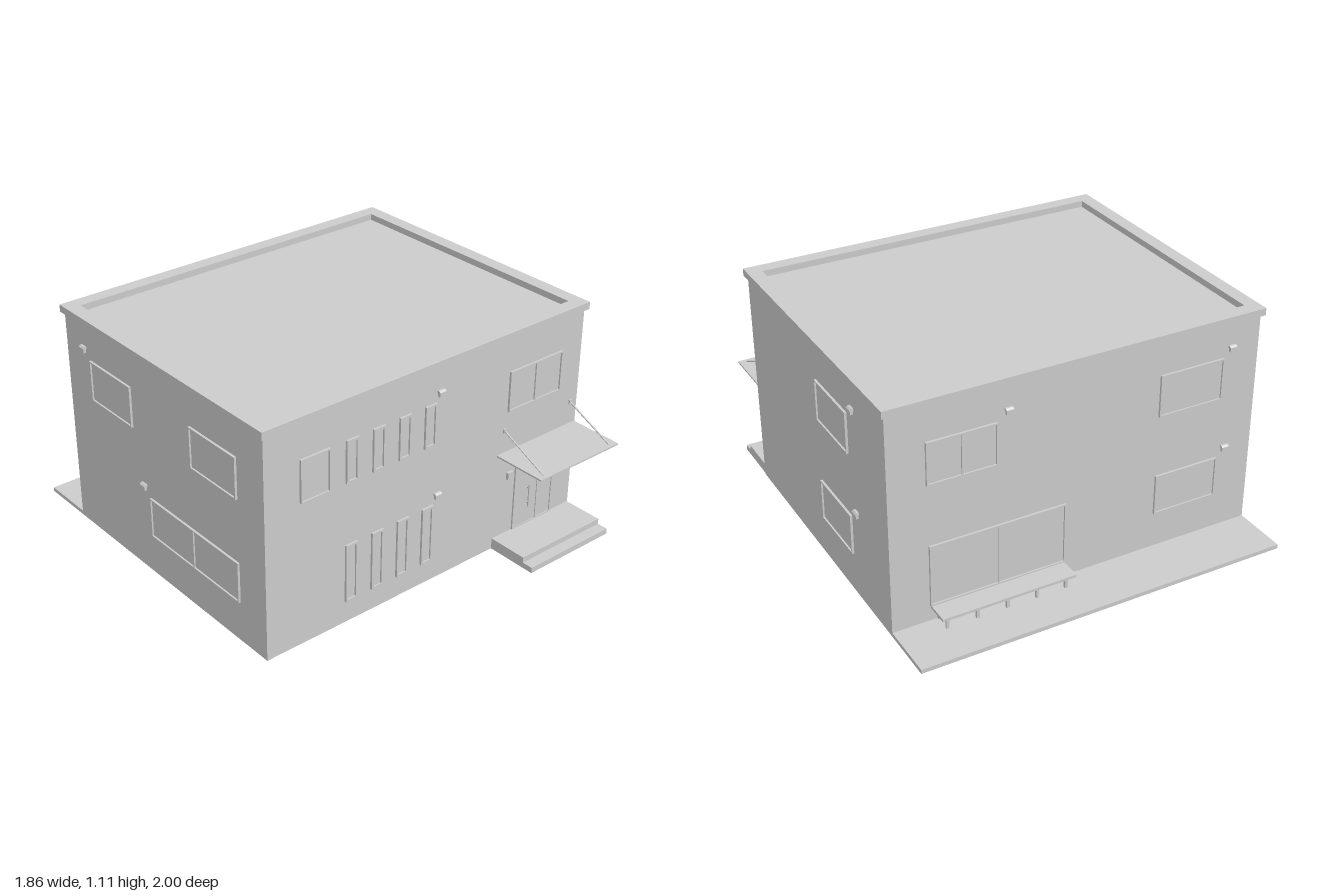
import * as THREE from 'three';

const mat = new THREE.MeshStandardMaterial({ color: 0xcccccc, flatShading: true });
const W = 0.91, D = 0.727; // half width and half depth of the walls

function add(parent, name, geometry) {
  const mesh = new THREE.Mesh(geometry, mat);
  mesh.name = name;
  parent.add(mesh);
  return mesh;
}

// Box given by its limits on each axis
function box(parent, name, x0, x1, y0, y1, z0, z1) {
  const mesh = add(parent, name, new THREE.BoxGeometry(x1 - x0, y1 - y0, z1 - z0));
  mesh.position.set((x0 + x1) / 2, (y0 + y1) / 2, (z0 + z1) / 2);
  return mesh;
}

function rectPath(target, x0, x1, y0, y1) {
  target.moveTo(x0, y0).lineTo(x1, y0).lineTo(x1, y1).lineTo(x0, y1).closePath();
  return target;
}

// Rectangular ring with a hole, extruded along z
function ring(x0, x1, y0, y1, t, depth) {
  const shape = rectPath(new THREE.Shape(), x0, x1, y0, y1);
  shape.holes.push(rectPath(new THREE.Path(), x0 + t, x1 - t, y0 + t, y1 - t));
  return new THREE.ExtrudeGeometry(shape, { depth, bevelEnabled: false });
}

// Group whose local x runs along a wall and local z points out of it
function wallGroup(parent, name, angle, distance) {
  const g = new THREE.Group();
  g.name = name;
  g.rotation.y = angle;
  g.position.set(Math.sin(angle) * distance, 0, Math.cos(angle) * distance);
  parent.add(g);
  return g;
}

function addWindow(wall, x0, x1, y0, y1, { split = false, t = 0.007 } = {}) {
  const g = new THREE.Group();
  g.name = 'window';
  wall.add(g);
  add(g, 'windowFrame', ring(x0, x1, y0, y1, t, 0.011));
  box(g, 'windowPane', x0 + t, x1 - t, y0 + t, y1 - t, 0, 0.003);
  const m = (x0 + x1) / 2;
  if (split) box(g, 'mullion', m - 0.004, m + 0.004, y0 + t, y1 - t, 0, 0.01);
}

// Small hooded vent with a sloping cap
function addVent(wall, x, y) {
  const g = new THREE.Group();
  g.name = 'vent';
  wall.add(g);
  box(g, 'ventBody', x - 0.014, x + 0.014, y - 0.015, y + 0.006, 0, 0.013);
  const s = new THREE.Shape();
  s.moveTo(0, 0.004).lineTo(0.018, 0.004).lineTo(0.018, 0.009).lineTo(0.009, 0.016).lineTo(0, 0.016);
  const cap = add(g, 'ventHood', new THREE.ExtrudeGeometry(s, { depth: 0.036, bevelEnabled: false }));
  cap.rotation.y = -Math.PI / 2;
  cap.position.set(x + 0.018, y, 0);
}

function rod(parent, name, a, b, r) {
  const dir = b.clone().sub(a);
  const mesh = add(parent, name, new THREE.CylinderGeometry(r, r, dir.length(), 8));
  mesh.position.copy(a).addScaledVector(dir, 0.5);
  mesh.quaternion.setFromUnitVectors(new THREE.Vector3(0, 1, 0), dir.normalize());
}

export function createModel() {
  const model = new THREE.Group();
  model.name = 'house';

  // Walls, flat roof and parapet
  box(model, 'walls', -W, W, 0, 1.08, -D, D);
  const parapet = add(model, 'parapet', ring(-0.925, 0.925, -0.743, 0.743, 0.068, 0.035));
  parapet.rotation.x = -Math.PI / 2;
  parapet.position.y = 1.076;

  const front = wallGroup(model, 'frontWall', 0, D);
  const right = wallGroup(model, 'eastWall', Math.PI / 2, W);
  const back = wallGroup(model, 'backWall', Math.PI, D);
  const left = wallGroup(model, 'westWall', -Math.PI / 2, W);

  // Front: narrow windows on both floors, one square and one wide window
  for (let i = 0; i < 4; i++) {
    const x = -0.49 + i * 0.145;
    addWindow(front, x, x + 0.065, 0.705, 0.91, { t: 0.011 });
    addWindow(front, x, x + 0.065, 0.11, 0.4, { t: 0.011 });
  }
  addWindow(front, -0.73, -0.575, 0.705, 0.91);
  addWindow(front, 0.45, 0.78, 0.71, 0.91, { split: true });
  for (const y of [0.95, 0.44]) {
    addVent(front, 0.032, y);
    addVent(right, 0.417, y);
  }

  // Side with one window per floor
  addWindow(right, 0.04, 0.36, 0.71, 0.91);
  addWindow(right, 0.04, 0.36, 0.2, 0.4);

  // Back: two columns of windows with a tall glazed door
  addWindow(back, -0.735, -0.405, 0.705, 0.91, { split: true });
  addWindow(back, 0.395, 0.725, 0.705, 0.91);
  addWindow(back, 0.395, 0.725, 0.2, 0.4);
  addWindow(back, -0.73, -0.07, 0.1, 0.405, { split: true });
  addVent(back, -0.353, 0.95);
  addVent(back, 0.765, 0.95);
  addVent(back, 0.765, 0.44);

  // Other side: two windows above, a long one below
  addWindow(left, -0.53, -0.21, 0.71, 0.91);
  addWindow(left, 0.23, 0.55, 0.71, 0.91);
  addWindow(left, -0.1, 0.55, 0.2, 0.4, { split: true });
  addVent(left, -0.58, 0.95);
  addVent(left, -0.145, 0.44);

  // Entrance door with sidelight, handle and lamp
  const door = new THREE.Group();
  door.name = 'entranceDoor';
  front.add(door);
  add(door, 'doorFrame', ring(0.525, 0.78, 0.055, 0.425, 0.007, 0.008));
  box(door, 'doorLeaf', 0.532, 0.675, 0.06, 0.418, 0, 0.004);
  box(door, 'doorPost', 0.675, 0.683, 0.06, 0.418, 0, 0.008);
  box(door, 'sidelight', 0.683, 0.773, 0.06, 0.418, 0, 0.003);
  rod(door, 'doorHandle', new THREE.Vector3(0.617, 0.15, 0.014), new THREE.Vector3(0.617, 0.27, 0.014), 0.004);
  for (const y of [0.17, 0.25]) box(door, 'handleMount', 0.614, 0.62, y - 0.003, y + 0.003, 0, 0.014);
  box(front, 'wallLamp', 0.47, 0.505, 0.35, 0.386, 0, 0.014);

  // Canopy held by two sloping rods
  box(model, 'canopy', 0.4, 0.905, 0.493, 0.501, D, 1);
  for (const x of [0.438, 0.865]) {
    rod(model, 'canopyRod', new THREE.Vector3(x, 0.618, D), new THREE.Vector3(x, 0.5, 0.98), 0.004);
    box(model, 'rodBracket', x - 0.008, x + 0.008, 0.607, 0.627, D, D + 0.008);
  }

  // Front steps
  box(model, 'lowerStep', 0.4, 0.907, 0, 0.028, D, 0.985);
  box(model, 'upperStep', 0.4, 0.907, 0.028, 0.055, D, 0.93);

  // Back terrace with a low deck on legs
  box(model, 'terrace', -W, W, 0, 0.02, -1, -D);
  box(model, 'deckTop', 0.07, 0.725, 0.082, 0.095, -0.837, -D);
  for (let i = 0; i < 5; i++) {
    const x = 0.105 + i * 0.146;
    box(model, 'deckBeam', x - 0.007, x + 0.007, 0.072, 0.082, -0.815, -D);
    box(model, 'deckLeg', x - 0.007, x + 0.007, 0.02, 0.075, -0.812, -0.799);
    box(model, 'deckWallLeg', x - 0.007, x + 0.007, 0.02, 0.075, -0.742, -D);
  }
  return model;
}
